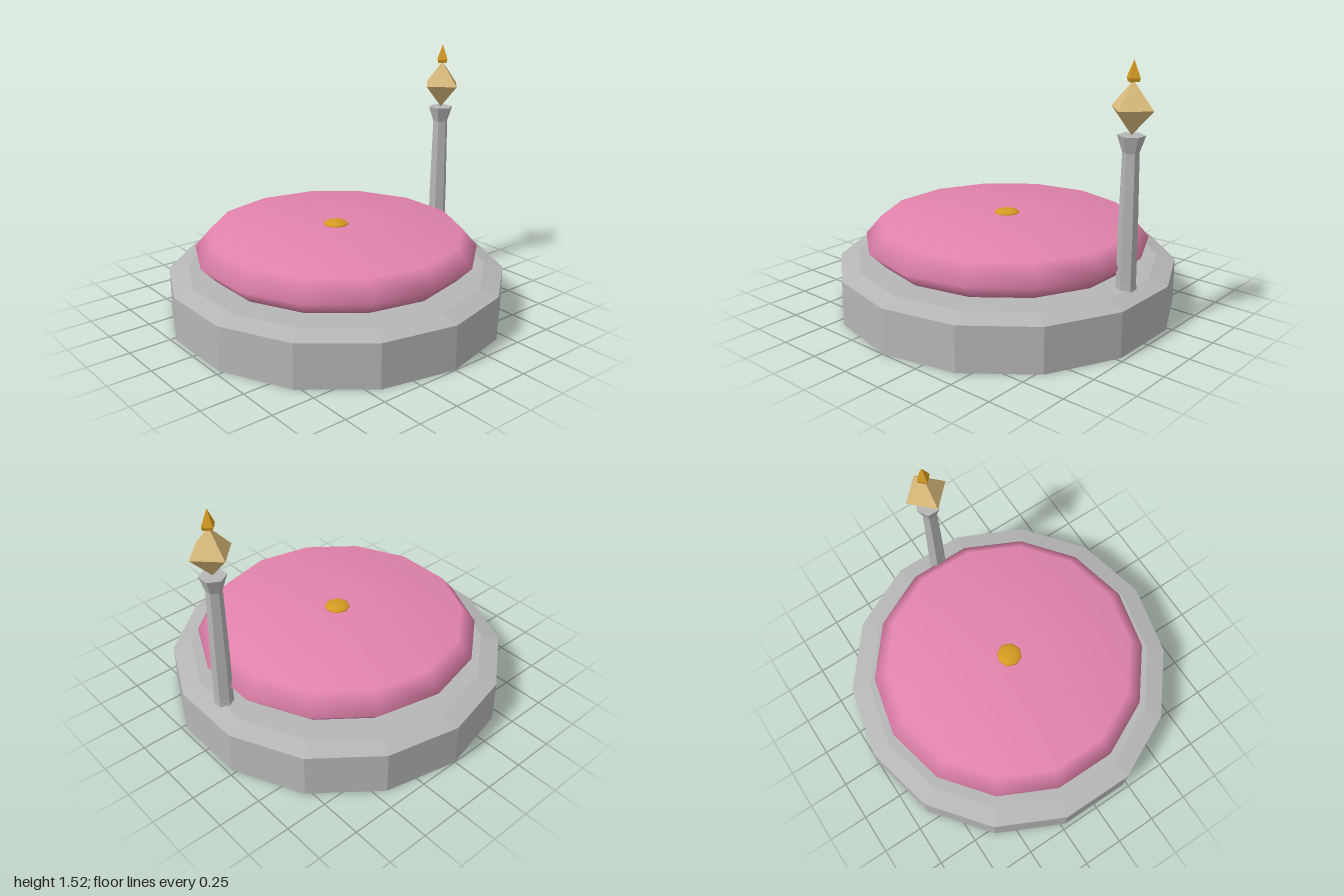
import * as THREE from 'three';

const stone = new THREE.MeshStandardMaterial({ name: 'stone grey', color: 0xb6b6b6, side: THREE.DoubleSide });
const pink = new THREE.MeshStandardMaterial({ name: 'cushion pink', color: 0xe283ac });
const crystalTan = new THREE.MeshStandardMaterial({ name: 'crystal tan', color: 0xdcbc7c });
const gold = new THREE.MeshStandardMaterial({ name: 'gold', color: 0xd59b22 });

// Profile [radius, height] from bottom to top, turned with corners on the x axis.
function turned(name, profile, sides, material, flat = true) {
  const points = profile.map(([r, y]) => new THREE.Vector2(r, y));
  let geometry = new THREE.LatheGeometry(points, sides, Math.PI / 2);
  if (flat) {
    geometry = geometry.toNonIndexed();
    geometry.computeVertexNormals();
  }
  const mesh = new THREE.Mesh(geometry, material);
  mesh.name = name;
  return mesh;
}

export function createModel() {
  const model = new THREE.Group();
  model.name = 'cushionedPedestal';

  // Hollow stone base, open underneath
  model.add(turned('base', [[1, 0], [1, 0.26], [0.89, 0.29], [0, 0.29]], 14, stone));

  // Soft round cushion
  model.add(turned('cushion', [
    [0, 0.293], [0.2, 0.295], [0.75, 0.308], [0.84, 0.4],
    [0.75, 0.505], [0.23, 0.54], [0, 0.54],
  ], 14, pink, false));

  // Flattened button in the middle of the cushion
  const button = new THREE.Mesh(new THREE.SphereGeometry(0.078, 8, 6), gold);
  button.name = 'button';
  button.scale.y = 0.28;
  button.position.y = 0.538;
  model.add(button);

  // Post at the back edge with a crystal and a small finial
  const post = new THREE.Group();
  post.name = 'crystalPost';
  post.position.z = -0.845;
  post.add(
    turned('postShaft', [
      [0.07, 0.13], [0.054, 0.33], [0.053, 0.6], [0.045, 1.04], [0.075, 1.13], [0, 1.13],
    ], 6, stone),
    turned('crystal', [[0, 1.13], [0.129, 1.27], [0, 1.415]], 4, crystalTan),
    turned('finial', [[0, 1.405], [0.036, 1.408], [0.042, 1.428], [0, 1.52]], 4, gold),
  );
  model.add(post);

  return model;
}
